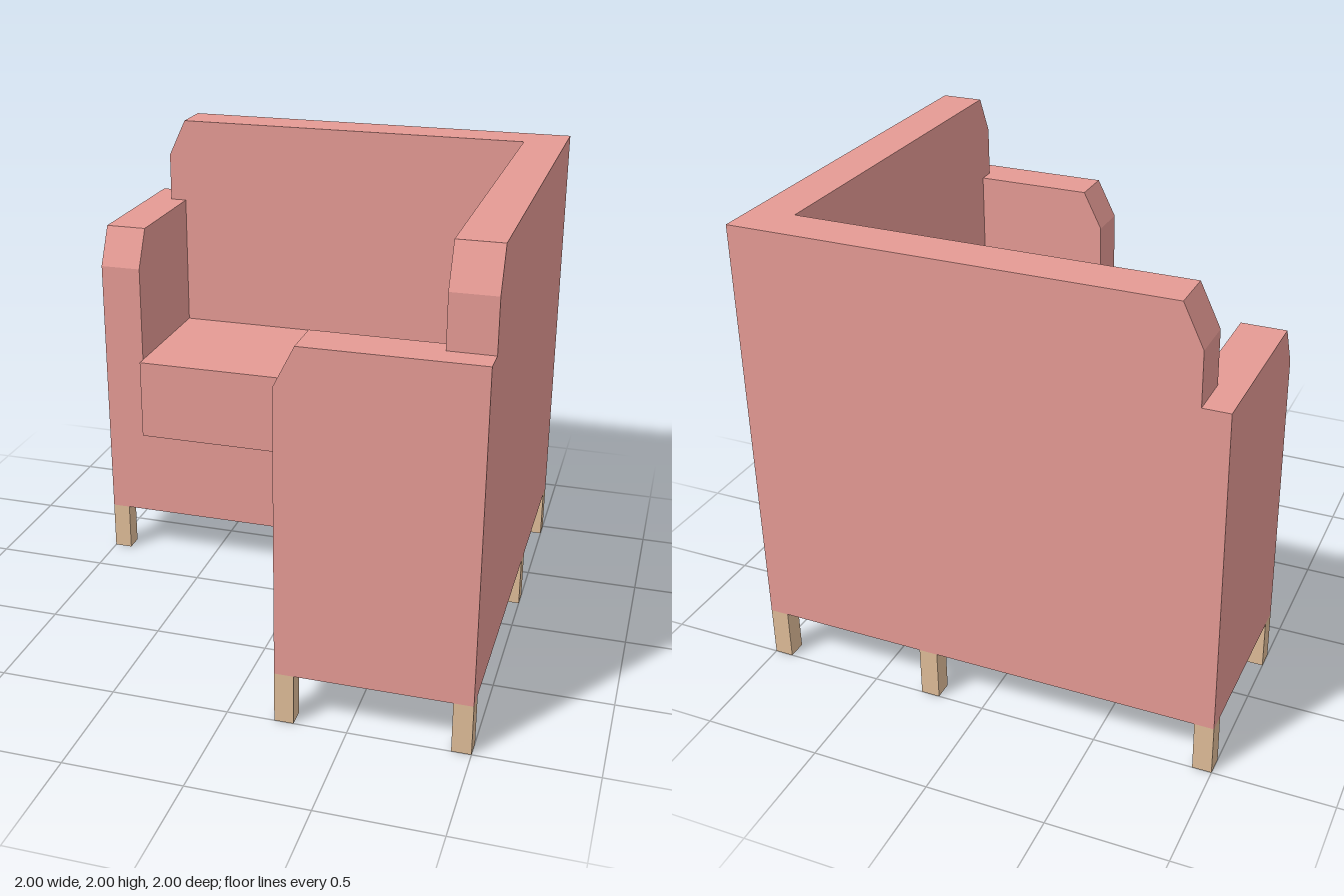
import * as THREE from 'three';

const FLOOR = 0.22;   // underside of the upholstery
const INNER = 0.815;  // inner face of backs and arms
const SEAT = 0.63;    // top of the base, underside of the cushion
const ARM = 1.61;     // arm height

const fabric = new THREE.MeshStandardMaterial({ color: 0xe59a94, flatShading: true });
const wood = new THREE.MeshStandardMaterial({ color: 0xdfbc98, flatShading: true });

// Extrudes an outline along z from z0 to z1
function slab(points, z0, z1) {
  const shape = new THREE.Shape(points.map(([x, y]) => new THREE.Vector2(x, y)));
  const geo = new THREE.ExtrudeGeometry(shape, { depth: z1 - z0, bevelEnabled: false });
  return geo.translate(0, 0, z0);
}

// L-shaped plan, lying flat between two heights (plan y is -z)
function cornerSlab(edge, y0, y1) {
  const plan = [
    [-INNER, -edge], [edge, -edge], [edge, -INNER],
    [INNER, -INNER], [INNER, INNER], [-INNER, INNER],
  ];
  plan[0][1] = plan[1][1] = -edge * -1; // rear wing front edge lies at z = -edge
  return slab(plan, y0, y1).rotateX(-Math.PI / 2);
}

// Back with a stepped, chamfered end above the arm; "end" is its corner side
function backGeometry(end, z0, z1) {
  return slab([
    [-INNER, FLOOR], [end, FLOOR], [end, 2], [-0.81, 2],
    [-0.89, 1.83], [-0.89, ARM], [-INNER, ARM],
  ], z0, z1);
}

// Arm with a chamfered front top edge
function armGeometry(z0, z1) {
  return slab([[0.2, FLOOR], [1, FLOOR], [1, ARM], [0.285, ARM], [0.2, 1.44]], z0, z1);
}

export function createModel() {
  const group = new THREE.Group();
  const add = (name, geo, mat) => {
    const mesh = new THREE.Mesh(geo, mat);
    mesh.name = name;
    group.add(mesh);
  };
  const quarter = Math.PI / 2;

  // Base and overhanging seat cushion
  add('base', cornerSlab(0.2, FLOOR, SEAT), fabric);
  add('seatCushion', cornerSlab(0.16, SEAT, 1), fabric);

  // Two backs meeting at the rear left corner
  add('rearBack', backGeometry(1, -1, -INNER), fabric);
  add('leftBack', backGeometry(INNER, INNER, 1).rotateY(quarter), fabric);

  // Arms closing both wings
  add('frontArm', armGeometry(INNER, 1), fabric);
  add('rightArm', armGeometry(-1, -INNER).rotateY(quarter), fabric);

  // Square legs under the wings
  const a = 0.96, b = 0.24;
  [[-a, -a], [b, -a], [a, -a], [a, -b], [a, a], [b, a], [-a, -b]].forEach(([x, z], i) => {
    add(`leg${i + 1}`, new THREE.BoxGeometry(0.08, FLOOR, 0.08).translate(x, FLOOR / 2, z), wood);
  });
  return group;
}
